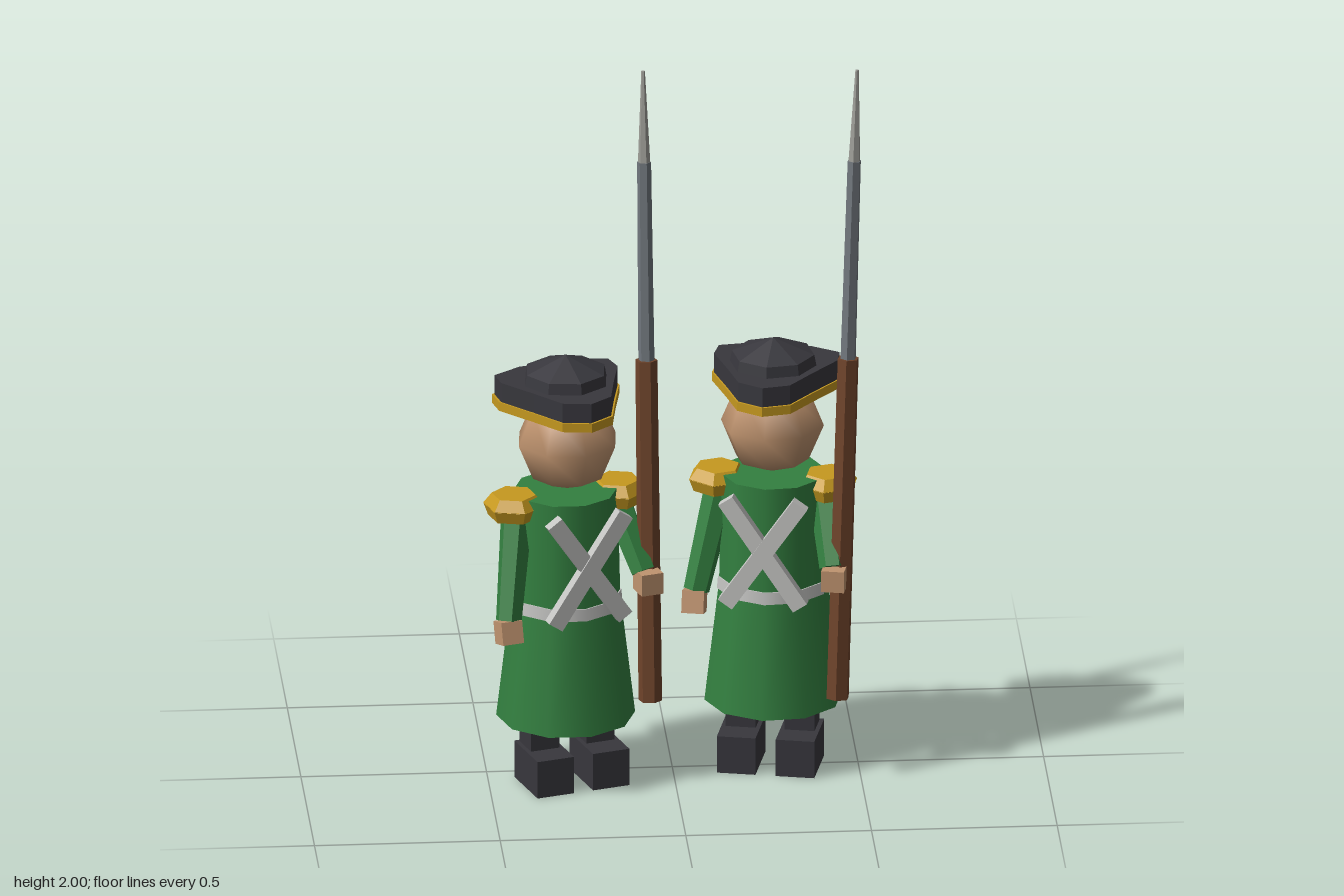
import * as THREE from 'three';

const paint = (name, color, extra = {}) => {
  const m = new THREE.MeshStandardMaterial({ color, ...extra });
  m.name = name;
  return m;
};

export function createModel() {
  const green = paint('coat green', 0x338040, { side: THREE.DoubleSide });
  const black = paint('felt black', 0x38373d);
  const gold = paint('gold', 0xc6991f);
  const skin = paint('skin', 0xc0946f);
  const white = paint('strap white', 0xc4c4c2);
  const wood = paint('wood brown', 0x6e432a);
  const steel = paint('barrel steel', 0x70767c);
  const blade = paint('blade grey', 0x9c9c96);

  const add = (parent, name, geo, mat, x = 0, y = 0, z = 0) => {
    const m = new THREE.Mesh(geo, mat);
    m.name = name;
    m.position.set(x, y, z);
    parent.add(m);
    return m;
  };
  const box = (w, h, d) => new THREE.BoxGeometry(w, h, d);

  // Tapered rod between two points
  const rod = (parent, name, a, b, ra, rb, sides, mat) => {
    const from = new THREE.Vector3(...a), to = new THREE.Vector3(...b);
    const dir = to.clone().sub(from);
    const geo = new THREE.CylinderGeometry(rb, ra, dir.length(), sides).toNonIndexed();
    geo.computeVertexNormals();
    const m = add(parent, name, geo, mat);
    m.position.copy(from).add(to).multiplyScalar(0.5);
    m.quaternion.setFromUnitVectors(new THREE.Vector3(0, 1, 0), dir.normalize());
    return m;
  };

  // Three-cornered brim, lying flat; its tip points to the front
  const half = [[0, 0.187], [0.07, 0.155], [0.115, 0.06], [0.168, -0.045], [0.164, -0.105], [0.08, -0.137]];
  const outline = [...half, ...half.slice(1).reverse().map(([x, z]) => [-x, z])];
  const brim = (scale, height) => {
    const shape = new THREE.Shape(outline.map(([x, z]) => new THREE.Vector2(x * scale, -z * scale)));
    const geo = new THREE.ExtrudeGeometry(shape, { depth: height, bevelEnabled: false });
    return geo.rotateX(-Math.PI / 2);
  };

  const makeSoldier = (name) => {
    const s = new THREE.Group();
    s.name = name;

    // Coat and belt
    add(s, 'coatBody', new THREE.CylinderGeometry(0.14, 0.147, 0.31, 10), green, 0, 0.675, 0);
    add(s, 'coatSkirt', new THREE.CylinderGeometry(0.147, 0.187, 0.34, 10, 1, true), green, 0, 0.35, 0);
    add(s, 'belt', new THREE.CylinderGeometry(0.15, 0.153, 0.034, 10), white, 0, 0.518, 0);

    // Crossed straps on the chest
    for (const side of [-1, 1]) {
      const strap = add(s, 'chestStrap', box(0.046, 0.36, 0.03), white, 0, 0.658, side > 0 ? 0.167 : 0.171);
      strap.rotation.z = side * 0.6;
    }

    // Backpack
    add(s, 'backpack', box(0.215, 0.2, 0.08), wood, 0, 0.625, -0.16);

    // Legs, boots and epaulettes
    for (const side of [-1, 1]) {
      add(s, 'leg', box(0.082, 0.24, 0.085), black, side * 0.08, 0.21, 0.01);
      add(s, 'boot', box(0.105, 0.105, 0.17), black, side * 0.08, 0.0525, 0.045);
      const geo = new THREE.CylinderGeometry(0.06, 0.083, 0.03, 6).translate(0, 0.018, 0).toNonIndexed();
      geo.computeVertexNormals();
      add(s, 'epauletteTop', geo, gold, side * 0.15, 0.803, 0);
      const rim = new THREE.CylinderGeometry(0.083, 0.07, 0.035, 6).toNonIndexed();
      rim.computeVertexNormals();
      add(s, 'epauletteRim', rim, gold, side * 0.15, 0.79, 0);
    }

    // Arms and hands
    rod(s, 'rightArm', [-0.14, 0.79, 0], [-0.196, 0.505, 0.08], 0.045, 0.036, 6, green);
    rod(s, 'leftArm', [0.14, 0.79, 0], [0.18, 0.605, 0.112], 0.045, 0.036, 6, green);
    add(s, 'rightHand', box(0.06, 0.062, 0.06), skin, -0.2, 0.477, 0.09).rotation.x = -0.25;
    add(s, 'leftHand', box(0.062, 0.06, 0.065), skin, 0.187, 0.583, 0.13);

    // Head
    add(s, 'head', new THREE.SphereGeometry(0.14, 8, 4), skin, 0, 0.975, 0.012);

    // Three-cornered hat
    add(s, 'hatTrim', brim(1.035, 0.025), gold, 0, 1.062, 0);
    add(s, 'hatBrim', brim(1, 0.055), black, 0, 1.087, 0);
    const crown = new THREE.LatheGeometry(
      [[0.118, 0], [0.112, 0.032], [0, 0.076]].map(([r, y]) => new THREE.Vector2(r, y)), 8).toNonIndexed();
    crown.computeVertexNormals();
    add(s, 'hatCrown', crown, black, 0, 1.14, 0);

    // Musket with bayonet, leaning back along one axis
    const low = new THREE.Vector3(0.195, 0.235, 0.125), tip = new THREE.Vector3(0.227, 2, -0.008);
    const at = (y) => low.clone().lerp(tip, (y - low.y) / (tip.y - low.y)).toArray();
    rod(s, 'musketStock', at(0.235), at(1.19), 0.032, 0.03, 6, wood);
    rod(s, 'musketBarrel', at(1.18), at(1.745), 0.022, 0.019, 6, steel);
    rod(s, 'bayonet', at(1.74), at(2), 0.017, 0.005, 6, blade);
    return s;
  };

  const model = new THREE.Group();
  model.name = 'soldiers';
  for (const [name, x, z, turn] of [['rightSoldier', -0.29, 0.04, 0.305], ['leftSoldier', 0.275, -0.045, -0.23]]) {
    const s = makeSoldier(name);
    s.position.set(x, 0, z);
    s.rotation.y = turn;
    model.add(s);
  }
  return model;
}
